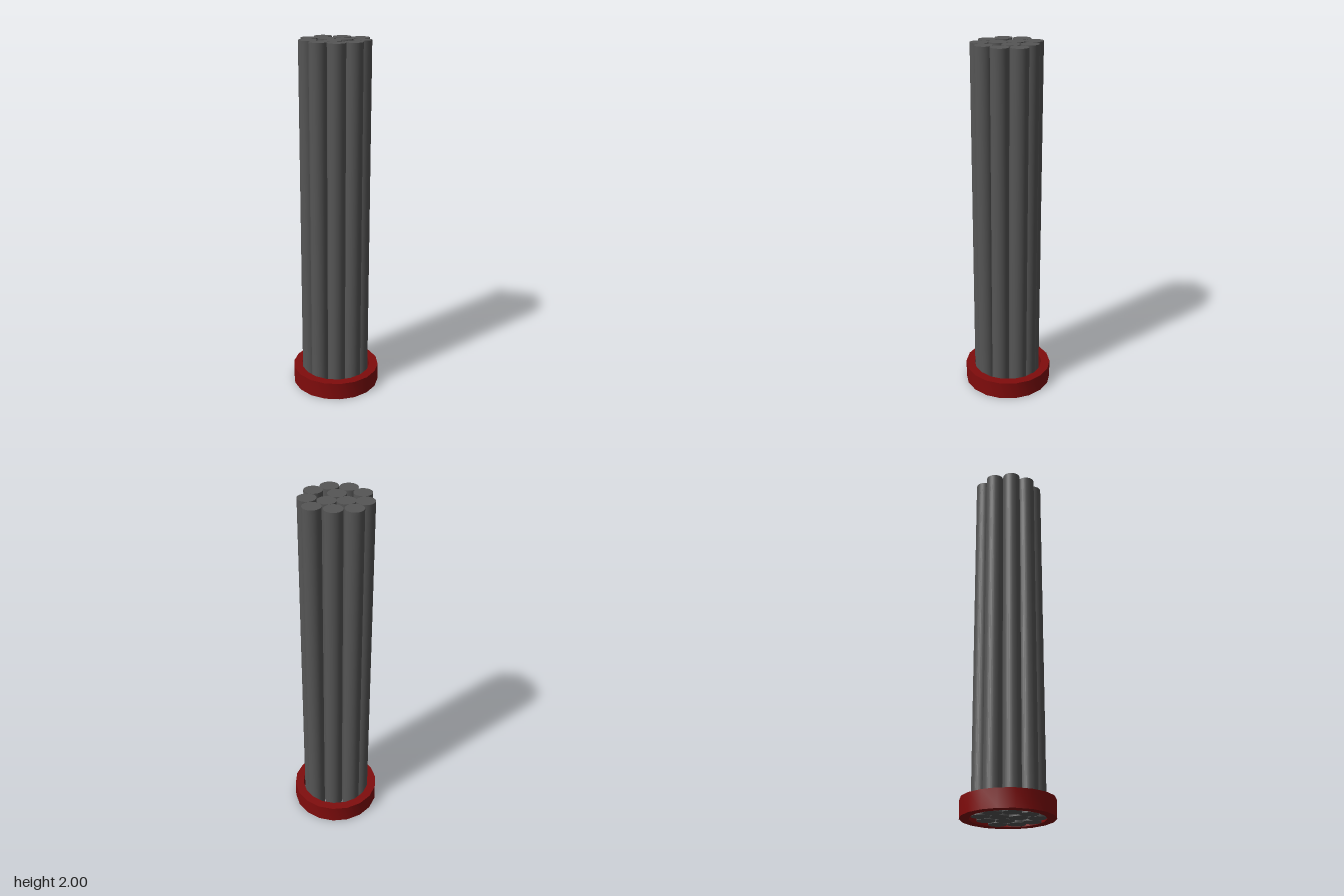
import * as THREE from 'three';
import { toCreasedNormals } from 'three/addons/utils/BufferGeometryUtils.js';

const ROD_RADIUS = 0.049;
const ROD_HEIGHT = 2;

// x, z centres of the bundled rods
const ROD_CENTRES = [
  [-0.053, -0.141], [0.046, -0.141], [-0.130, -0.077], [-0.006, -0.060],
  [0.107, -0.058], [-0.147, 0.018], [-0.050, 0.026], [0.048, 0.021],
  [0.143, 0.044], [-0.104, 0.107], [-0.017, 0.146], [0.077, 0.119],
];

export function createModel() {
  const model = new THREE.Group();
  model.name = 'rodBundle';
  const rodMaterial = new THREE.MeshStandardMaterial({ color: 0x555555 });
  const ringMaterial = new THREE.MeshStandardMaterial({ color: 0x800c0c });

  // Rods: identical upright cylinders packed inside the ring
  const rods = new THREE.Group();
  rods.name = 'rods';
  const rodGeometry = new THREE.CylinderGeometry(ROD_RADIUS, ROD_RADIUS, ROD_HEIGHT, 32);
  ROD_CENTRES.forEach(([x, z], i) => {
    const rod = new THREE.Mesh(rodGeometry, rodMaterial);
    rod.name = `rod${i + 1}`;
    rod.position.set(x, ROD_HEIGHT / 2, z);
    rods.add(rod);
  });
  model.add(rods);

  // Base ring: 18-sided band of rectangular section
  const section = [[0.2, 0], [0.25, 0], [0.25, 0.1], [0.2, 0.1], [0.2, 0]]
    .map(([r, y]) => new THREE.Vector2(r, y));
  const ring = new THREE.Mesh(
    toCreasedNormals(new THREE.LatheGeometry(section, 18), 0.6), ringMaterial);
  ring.name = 'baseRing';
  model.add(ring);

  return model;
}
